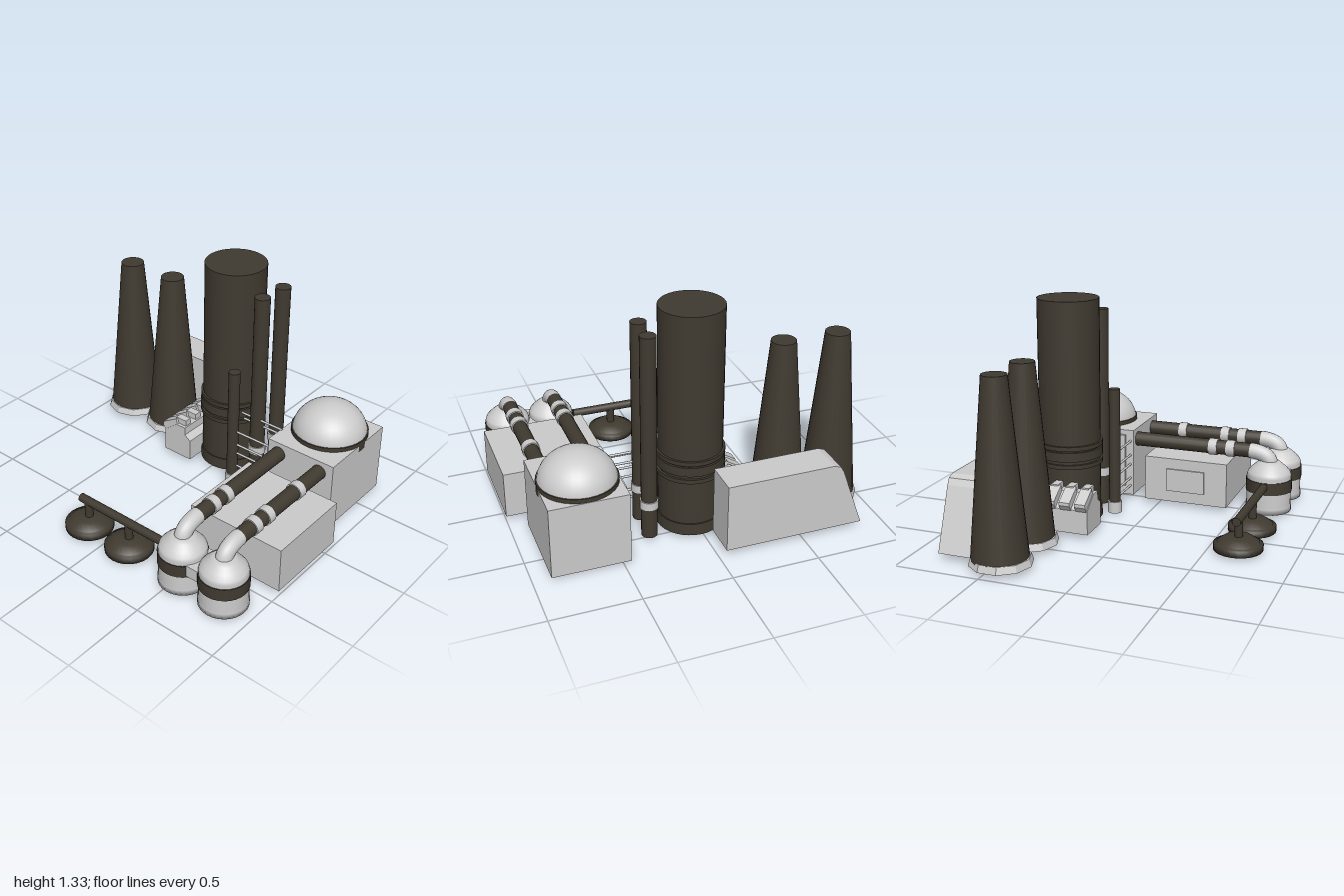
import * as THREE from 'three';

const light = new THREE.MeshStandardMaterial({ color: 0xcccccc });
const faceted = new THREE.MeshStandardMaterial({ color: 0xcccccc, flatShading: true });
const dark = new THREE.MeshStandardMaterial({ color: 0x403a30 });

export function createModel() {
  const model = new THREE.Group();

  const add = (name, geometry, material, x = 0, y = 0, z = 0) => {
    const mesh = new THREE.Mesh(geometry, material);
    mesh.name = name;
    mesh.position.set(x, y, z);
    model.add(mesh);
    return mesh;
  };
  // Upright round part between two heights
  const column = (name, x, z, y0, y1, rBottom, rTop, material, sides = 24) =>
    add(name, new THREE.CylinderGeometry(rTop, rBottom, y1 - y0, sides), material, x, (y0 + y1) / 2, z);
  // Box given by its minimum and maximum corners
  const box = (name, a, b, material = light) =>
    add(name, new THREE.BoxGeometry(b[0] - a[0], b[1] - a[1], b[2] - a[2]), material,
      (a[0] + b[0]) / 2, (a[1] + b[1]) / 2, (a[2] + b[2]) / 2);
  // Straight pipe along x or z
  const pipe = (name, axis, from, to, u, y, r, material, sides = 16) => {
    const g = new THREE.CylinderGeometry(r, r, Math.abs(to - from), sides);
    const mid = (from + to) / 2;
    if (axis === 'x') return add(name, g.rotateZ(Math.PI / 2), material, mid, y, u);
    return add(name, g.rotateX(Math.PI / 2), material, u, y, mid);
  };
  // Side profile in x and y, extruded from z0 to z1
  const prism = (name, points, z0, z1, material = faceted) => {
    const shape = new THREE.Shape(points.map(p => new THREE.Vector2(...p)));
    return add(name, new THREE.ExtrudeGeometry(shape, { depth: z1 - z0, bevelEnabled: false }), material, 0, 0, z0);
  };

  // Tapered cooling stacks on faceted plinths
  for (const x of [-0.82, -0.495]) {
    column('coolingStack', x, -0.46, 0.05, 1.06, 0.16, 0.07, dark);
    column('coolingStackPlinth', x, -0.455, 0.03, 0.07, 0.178, 0.165, faceted, 10);
  }

  // Sloped rear hall
  prism('rearHall', [[-0.85, 0.04], [-0.04, 0.04], [-0.04, 0.44], [-0.66, 0.44], [-0.7, 0.425], [-0.72, 0.39]], -0.82, -0.62);

  // Main tower with foot and bands
  column('mainTower', 0.02, -0.415, 0.02, 1.33, 0.18, 0.18, dark, 32);
  column('mainTowerFoot', 0.02, -0.415, 0.02, 0.09, 0.19, 0.187, dark, 32);
  for (const [y0, y1] of [[0.355, 0.38], [0.4, 0.455], [0.465, 0.49]])
    column('mainTowerBand', 0.02, -0.415, y0, y1, 0.193, 0.193, dark, 32);

  // Slim chimneys with pale collars
  for (const [x, z] of [[0.29, -0.5], [0.28, -0.32]]) {
    column('chimney', x, z, 0.02, 1.23, 0.045, 0.045, dark, 20);
    column('chimneyCollar', x, z, 0.2, 0.25, 0.052, 0.052, light, 20);
  }
  column('shortChimney', 0.19, -0.2, 0.06, 0.77, 0.034, 0.034, dark, 20);
  column('shortChimneyFoot', 0.19, -0.2, 0, 0.07, 0.042, 0.042, light, 20);

  // Feed lines from the chimneys to the domed hall
  for (const y of [0.08, 0.13, 0.22, 0.28, 0.37])
    pipe('feedLine', 'x', 0.19, 0.47, -0.2, y, 0.007, light, 8);
  pipe('feedLine', 'x', 0.18, 0.47, -0.3, 0.44, 0.007, light, 8);
  pipe('feedLine', 'x', 0.18, 0.47, -0.32, 0.39, 0.007, light, 8);

  // Domed hall with nested side panels
  box('domedHall', [0.46, 0.02, -0.7], [0.9, 0.44, -0.18]);
  box('sidePanel', [0.44, 0.08, -0.58], [0.46, 0.41, -0.23]);
  box('sidePanelInset', [0.425, 0.13, -0.52], [0.44, 0.33, -0.3]);
  column('domeRing', 0.68, -0.475, 0.4, 0.465, 0.223, 0.223, dark, 32);
  const dome = add('dome', new THREE.SphereGeometry(0.218, 32, 12, 0, Math.PI * 2, 0, Math.PI / 2), light, 0.68, 0.44, -0.475);
  dome.scale.y = 0.87;

  // Low hall beneath the pipes
  box('lowHall', [0.4, 0.03, -0.08], [1, 0.305, 0.44]);
  box('lowHallVent', [0.39, 0.1, 0.06], [0.4, 0.24, 0.3]);

  // Storage tanks, each with an elbow and a pipe run
  const tankProfile = [[0, 0.015], [0.138, 0.015], [0.138, 0.05], [0.134, 0.052], [0.134, 0.235], [0.127, 0.255],
    [0.105, 0.28], [0.075, 0.305], [0.055, 0.32], [0, 0.32]].map(p => new THREE.Vector2(...p));
  for (const [x, collars] of [[0.535, [0.43, 0.32]], [0.81, [0.43, 0.32, 0.04]]]) {
    add('tank', new THREE.LatheGeometry(tankProfile, 28), light, x, 0, 0.67);
    column('tankBand', x, 0.67, 0.14, 0.215, 0.139, 0.139, dark, 28);
    const bend = new THREE.QuadraticBezierCurve3(new THREE.Vector3(x, 0.29, 0.675),
      new THREE.Vector3(x, 0.365, 0.675), new THREE.Vector3(x, 0.37, 0.55));
    add('tankElbow', new THREE.TubeGeometry(bend, 12, 0.047, 16), light);
    pipe('overheadPipe', 'z', 0.565, -0.19, x, 0.37, 0.044, dark);
    for (const z of collars) pipe('pipeCollar', 'z', z - 0.026, z + 0.026, x, 0.37, 0.051, light);
  }
  box('tankLink', [0.635, 0.15, 0.58], [0.71, 0.22, 0.765]);

  // Round ground valves joined by a header pipe
  const padProfile = [[0, 0.015], [0.14, 0.015], [0.14, 0.05], [0.12, 0.055], [0.12, 0.06], [0.075, 0.09], [0, 0.09]]
    .map(p => new THREE.Vector2(...p));
  for (const x of [-0.16, 0.145]) {
    add('groundValve', new THREE.LatheGeometry(padProfile, 24),
      dark, x, 0, 0.67);
    column('valveStem', x, 0.67, 0.08, 0.19, 0.024, 0.024, dark, 12);
  }
  pipe('headerPipe', 'x', -0.215, 0.39, 0.67, 0.19, 0.025, dark);

  // Louvred unit: sloping body with a row of hoods
  prism('louvreBody', [[-0.315, 0.035], [-0.115, 0.035], [-0.115, 0.17], [-0.155, 0.2], [-0.155, 0.25], [-0.22, 0.25], [-0.315, 0.175]], -0.62, -0.17);
  for (let i = 0; i < 5; i++) {
    const z = -0.24 - i * 0.095;
    prism('louvreHood', [[-0.335, 0.2], [-0.335, 0.22], [-0.23, 0.285], [-0.22, 0.25], [-0.315, 0.17]], z, z + 0.065);
    box('louvreCap', [-0.24, 0.24, z + 0.005], [-0.165, 0.287, z + 0.05]);
  }

  return model;
}
